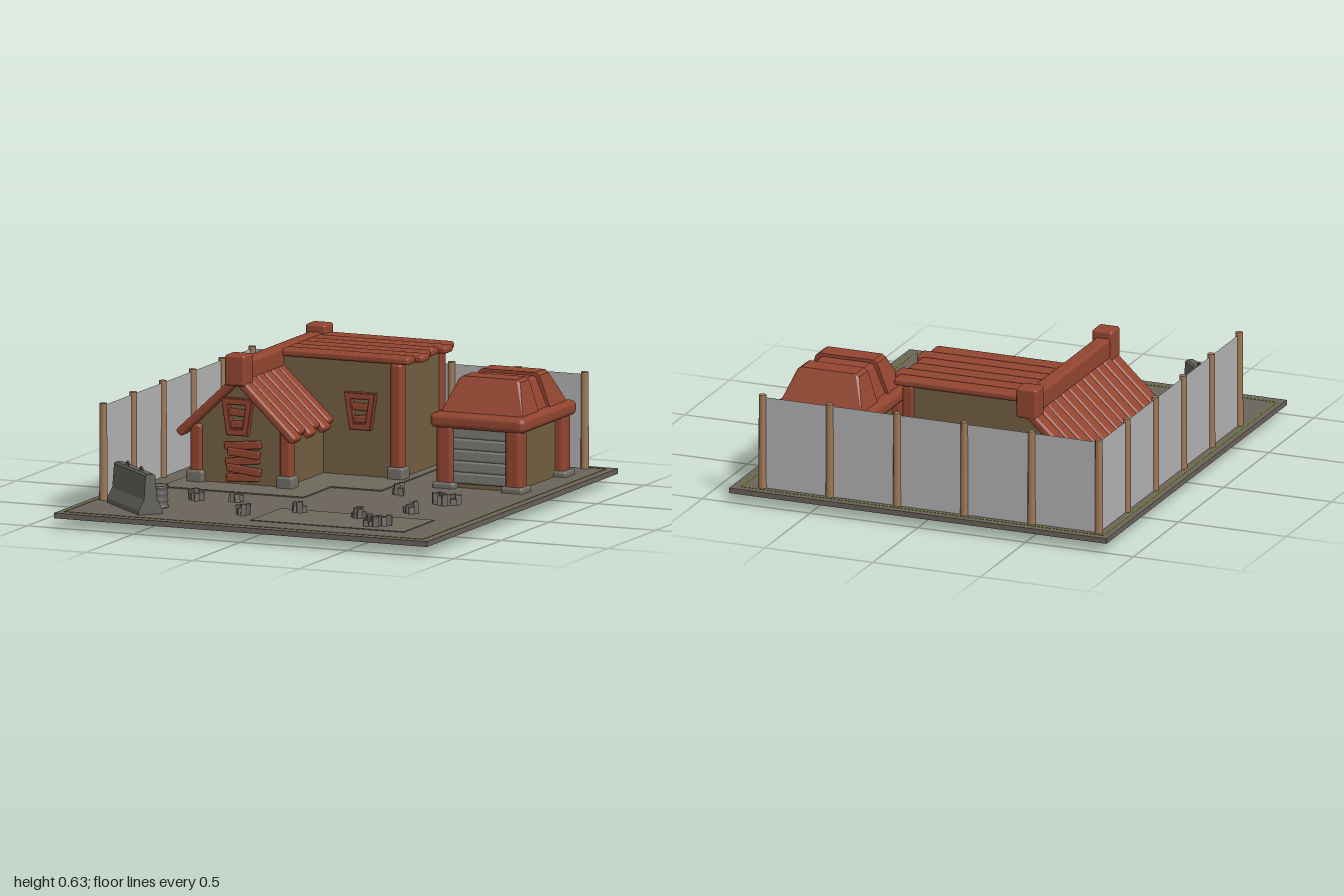
import * as THREE from 'three';
import { RoundedBoxGeometry } from 'three/addons/geometries/RoundedBoxGeometry.js';
import { ConvexGeometry } from 'three/addons/geometries/ConvexGeometry.js';

function mat(name, color, side = THREE.FrontSide) {
  const m = new THREE.MeshStandardMaterial({ color, side });
  m.name = name;
  return m;
}

export function createModel() {
  const root = new THREE.Group();
  const red = mat('red wood', 0x934530);
  const plaster = mat('brown wall', 0x735f42);
  const dirt = mat('ground', 0x6a635a);
  const paving = mat('paving', 0x6e695c);
  const stone = mat('stone', 0x716d66);
  const concrete = mat('concrete', 0x63625d);
  const shutter = mat('grey shutter', 0x7d7c74);
  const pole = mat('pale wood', 0xa07a58);
  const sheet = mat('fence sheet', 0xb2b2b2, THREE.DoubleSide);
  const lime = mat('boundary line', 0x8fae10);

  let seed = 7;
  const rnd = () => (seed = (seed * 16807) % 2147483647) / 2147483647;

  function group(name, parent = root) {
    const g = new THREE.Group();
    g.name = name;
    parent.add(g);
    return g;
  }
  function add(name, geo, material, parent = root) {
    const m = new THREE.Mesh(geo, material);
    m.name = name;
    parent.add(m);
    return m;
  }
  // Box given by its minimum and maximum corners
  function box(name, x0, x1, y0, y1, z0, z1, material, parent, r = 0) {
    const s = [x1 - x0, y1 - y0, z1 - z0];
    const geo = r ? new RoundedBoxGeometry(...s, 2, r) : new THREE.BoxGeometry(...s);
    const m = add(name, geo, material, parent);
    m.position.set((x0 + x1) / 2, (y0 + y1) / 2, (z0 + z1) / 2);
    return m;
  }

  // Ground sheet with a rim underneath
  const base = group('ground');
  box('groundSheet', -0.875, 0.875, 0.052, 0.065, -1, 1, dirt, base);
  for (const s of [-1, 1]) {
    box('rimSide', s * 0.86 - 0.015, s * 0.86 + 0.015, 0.042, 0.06, -1, 1, dirt, base);
    box('rimEnd', -0.845, 0.845, 0.042, 0.06, s * 0.985 - 0.015, s * 0.985 + 0.015, dirt, base);
  }
  for (const x of [-0.845, 0.835]) box('boundaryLine', x - 0.002, x + 0.002, 0.064, 0.0665, -0.965, 0.955, lime, base);
  for (const z of [-0.965, 0.955]) box('boundaryLine', -0.845, 0.835, 0.064, 0.0665, z - 0.002, z + 0.002, lime, base);

  // Paved areas
  const court = new THREE.Shape([[-0.72, 0.23], [-0.05, 0.23], [-0.05, -0.06], [0.185, -0.06], [0.185, -0.8], [-0.72, -0.8]]
    .map(([x, z]) => new THREE.Vector2(x, -z)));
  const slab = add('courtPaving', new THREE.ExtrudeGeometry(court, { depth: 0.022, bevelEnabled: false }), paving);
  slab.rotation.x = -Math.PI / 2;
  slab.position.y = 0.048;
  box('yardPaving', -0.03, 0.69, 0.049, 0.068, 0.51, 0.83, paving, root);

  // House walls
  const house = group('house');
  const gable = new THREE.Shape([[-0.65, 0.02], [-0.22, 0.02], [-0.22, 0.31], [-0.437, 0.53], [-0.65, 0.31]]
    .map((p) => new THREE.Vector2(...p)));
  add('gableWalls', new THREE.ExtrudeGeometry(gable, { depth: 0.85, bevelEnabled: false }), plaster, house)
    .position.z = -0.81;
  box('rearWalls', -0.437, 0.14, 0.022, 0.57, -0.805, -0.36, plaster, house);

  // Rounded posts on stone feet
  function post(x, z, top, foot, parent, w = 0.055) {
    box('post', x - w / 2, x + w / 2, foot - 0.02, top, z - w / 2, z + w / 2, red, parent, w * 0.28);
    const f = w / 2 + 0.012;
    box('postStone', x - f, x + f, foot === 0.09 ? 0 : 0.05, foot, z - f, z + f, stone, parent, 0.012);
  }
  for (const [x, z, top] of [[-0.635, 0.03, 0.32], [-0.215, 0.03, 0.32], [-0.635, -0.79, 0.32], [0.125, -0.37, 0.57], [0.125, -0.79, 0.57]])
    post(x, z, top, 0.12, house);

  // Sloping roof planks, left the full depth, right only over the front wing
  const roof = group('houseRoof', house);
  function slopePlanks(side, first, last) {
    for (let i = first; i < last; i++) {
      const len = 0.375 + (i % 2) * 0.025;
      const p = add('slopePlank', new RoundedBoxGeometry(len, 0.038, 0.077, 2, 0.013), red, roof);
      const t = 0.2 - len / 2;
      p.position.set(-0.437 + side * (0.127 - t * 0.73), 0.41 + t * 0.68, -0.803 + i * 0.0765);
      p.rotation.z = -side * 0.75;
      p.rotation.x = (rnd() - 0.5) * 0.08;
    }
  }
  slopePlanks(-1, 0, 12);
  slopePlanks(1, 6, 12);
  for (let i = 0; i < 6; i++) {
    const z = -0.83 + i * 0.081;
    box('flatPlank', -0.42, i % 3 === 1 ? 0.215 : 0.185, 0.565, 0.597, z, z + 0.08, red, roof, 0.012);
  }
  box('ridgeBeam', -0.475, -0.405, 0.51, 0.602, -0.8, 0.05, red, roof, 0.015);
  box('ridgeCapFront', -0.485, -0.39, 0.5, 0.635, -0.005, 0.087, red, roof, 0.012);
  box('ridgeCapBack', -0.485, -0.39, 0.5, 0.635, -0.847, -0.757, red, roof, 0.012);

  // Tapered window frame with two shelves of planks
  function windowFrame(x, y, z) {
    const w = group('window', house);
    w.position.set(x, y, z);
    const outer = new THREE.Shape([[-0.046, -0.078], [0.046, -0.078], [0.07, 0.078], [-0.07, 0.078]].map((p) => new THREE.Vector2(...p)));
    outer.holes.push(new THREE.Path([[-0.029, -0.055], [-0.045, 0.055], [0.045, 0.055], [0.029, -0.055]].map((p) => new THREE.Vector2(...p))));
    add('windowFrame', new THREE.ExtrudeGeometry(outer, { depth: 0.024, bevelEnabled: true, bevelSize: 0.003, bevelThickness: 0.003, bevelSegments: 1 }), red, w);
    for (const [py, tilt] of [[0.018, -0.05], [-0.034, 0.06]]) {
      const p = add('windowPlank', new RoundedBoxGeometry(0.09, 0.032, 0.016, 2, 0.006), red, w);
      p.position.set(0, py, 0.01);
      p.rotation.z = tilt;
    }
  }
  windowFrame(-0.437, 0.363, 0.04);
  windowFrame(-0.04, 0.352, -0.36);

  // Crooked planks nailed over the doorway
  [[0.1, 0.05, 0.15], [0.135, -0.1, 0.16], [0.172, 0.12, 0.16], [0.207, -0.07, 0.15], [0.24, 0.08, 0.17]].forEach(([y, tilt, len], i) => {
    const p = add('doorPlank', new RoundedBoxGeometry(len, 0.034, 0.02, 2, 0.006), red, house);
    p.position.set(-0.415 + (i % 2) * 0.01, y, 0.05 + (i % 2) * 0.012);
    p.rotation.z = tilt;
  });

  // Garage
  const garage = group('garage');
  box('garageWalls', 0.4, 0.71, 0.015, 0.345, -0.745, -0.285, plaster, garage);
  for (const x of [0.392, 0.714]) for (const z of [-0.29, -0.745]) post(x, z, 0.34, 0.09, garage, 0.08);
  for (let i = 0; i < 5; i++)
    box('shutterSlat', 0.425, 0.68, 0.085 + i * 0.049, 0.134 + i * 0.049, -0.29, -0.265, shutter, garage, 0.01);
  box('eaves', 0.33, 0.775, 0.325, 0.39, -0.8, -0.235, red, garage, 0.024);
  // Three overlapping roof sections, [z bottom pair, z top pair, swell]
  for (const [b0, b1, t0, t1, e] of [
    [-0.285, -0.46, -0.375, -0.47, 0.008], [-0.43, -0.61, -0.45, -0.59, -0.006], [-0.58, -0.765, -0.575, -0.67, 0.008]]) {
    const pts = [];
    for (const s of [-1, 1]) {
      for (const z of [b0, b1]) pts.push(new THREE.Vector3(0.553 + s * (0.187 + e), 0.375, z));
      for (const z of [t0, t1]) {
        pts.push(new THREE.Vector3(0.553 + s * (0.135 + e), 0.515 + e, z));
        pts.push(new THREE.Vector3(0.553 + s * (0.118 + e), 0.527 + e, z));
      }
    }
    add('garageRoofSection', new ConvexGeometry(pts), red, garage);
  }

  // Fence along the left and back borders
  const fence = group('fence');
  const steps = [0, 1, 2, 3, 4, 5];
  const posts = [...steps.map((i) => [-0.815, 0.615 - i * 0.311]), ...steps.slice(1).map((i) => [-0.815 + i * 0.312, -0.94])];
  posts.forEach(([x, z], i) => {
    add('fencePost', new THREE.CylinderGeometry(0.016, 0.018, 0.43, 10), pole, fence).position.set(x, 0.27, z);
    if (!i) return;
    const [px, pz] = posts[i - 1];
    const panel = add('fencePanel', new THREE.PlaneGeometry(Math.hypot(x - px, z - pz), 0.415), sheet, fence);
    panel.position.set((x + px) / 2, 0.267, (z + pz) / 2);
    panel.rotation.y = i < 6 ? -Math.PI / 2 : Math.PI;
  });

  // Concrete barrier with lifting loops
  const barrier = group('barrier');
  barrier.position.set(-0.61, 0.06, 0.745);
  barrier.rotation.y = 0.82;
  const half = [[0.055, 0], [0.055, 0.025], [0.03, 0.07], [0.022, 0.172], [0.014, 0.18]];
  const section = new THREE.Shape([...half, ...half.map(([x, y]) => [-x, y]).reverse()].map((p) => new THREE.Vector2(...p)));
  add('barrierBody', new THREE.ExtrudeGeometry(section, { depth: 0.35, bevelEnabled: false }), concrete, barrier).position.z = -0.175;
  for (const z of [-0.075, 0.075]) {
    const loop = add('liftingLoop', new THREE.TorusGeometry(0.014, 0.004, 6, 12), concrete, barrier);
    loop.position.set(0, 0.181, z);
    loop.rotation.y = Math.PI / 2;
  }

  // Ribbed barrel
  const profile = [[0, 0], [0.042, 0], [0.042, 0.008], [0.037, 0.012], [0.037, 0.03], [0.042, 0.034], [0.037, 0.038], [0.037, 0.058],
    [0.042, 0.062], [0.037, 0.066], [0.037, 0.085], [0.042, 0.089], [0.042, 0.097], [0.036, 0.097], [0.036, 0.092], [0, 0.092]];
  add('barrel', new THREE.LatheGeometry(profile.map((p) => new THREE.Vector2(...p)), 20), concrete).position.set(-0.525, 0.064, 0.68);

  // Piles of broken stone: x, z, number of pieces, spread
  const rubble = group('rubble');
  for (const [x, z, n, r] of [[0.28, -0.77, 7, 0.03], [0.29, -0.02, 5, 0.024], [0.565, 0.11, 14, 0.055], [0.52, 0.38, 6, 0.026], [-0.28, 0.42, 6, 0.026],
    [-0.45, 0.46, 6, 0.028], [-0.12, 0.71, 6, 0.026], [0.08, 0.57, 6, 0.026], [0.37, 0.59, 6, 0.026], [0.515, 0.72, 15, 0.058]]) {
    for (let i = 0; i < n; i++) {
      const h = 0.03 + rnd() * 0.03;
      const a = i * 2.4, d = r * Math.sqrt(i / n);
      const c = add('rubbleStone', new THREE.BoxGeometry(0.02 + rnd() * 0.008, h, 0.016 + rnd() * 0.006), stone, rubble);
      c.position.set(x + d * Math.cos(a), 0.058 + h / 2, z + d * Math.sin(a));
      c.rotation.set(0.2 * (rnd() - 0.5), 0.3 + rnd() * 0.4, 0.2 * (rnd() - 0.5));
    }
  }
  return root;
}
